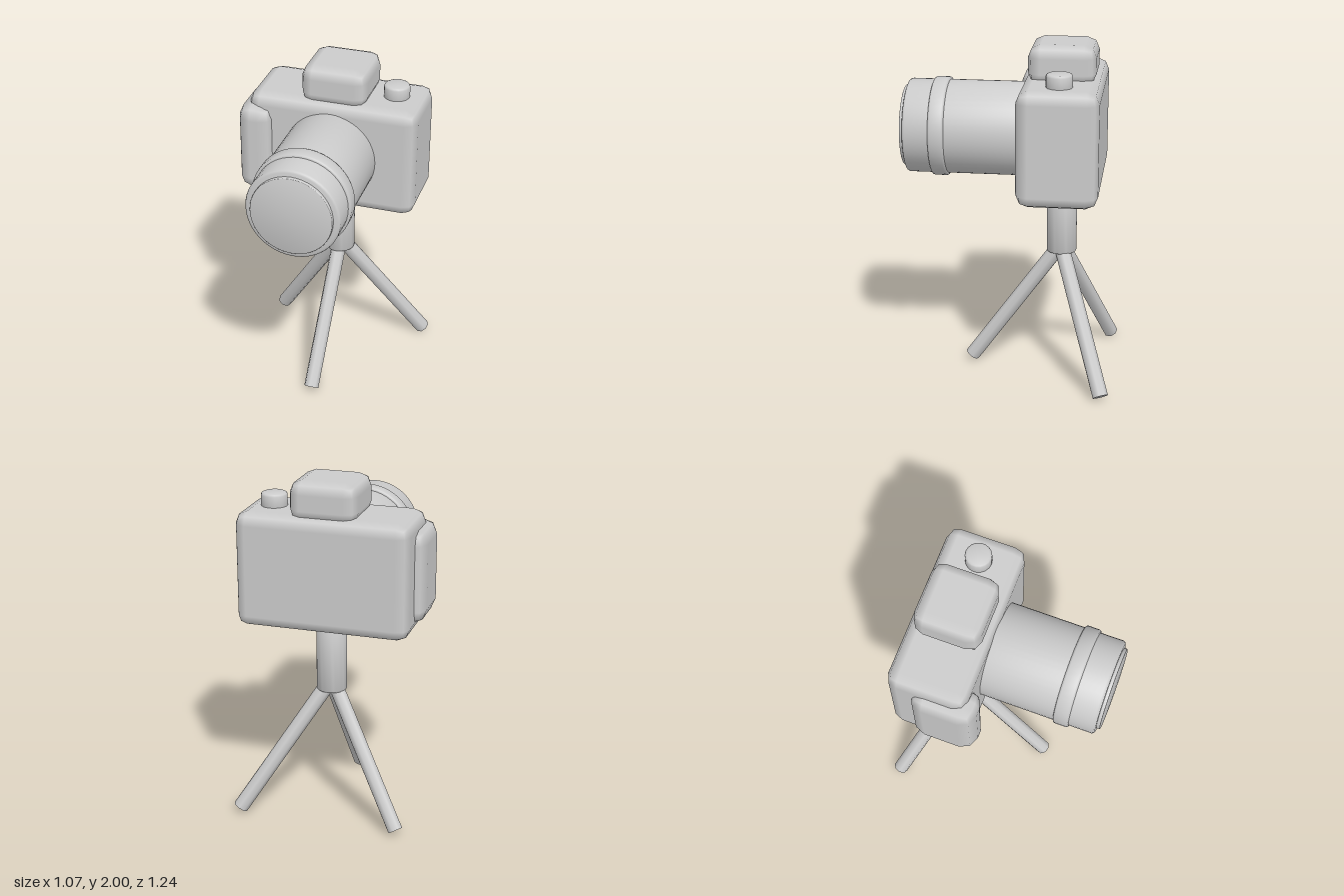
import * as THREE from 'three';
import { toCreasedNormals } from 'three/addons/utils/BufferGeometryUtils.js';
import { RoundedBoxGeometry } from 'three/addons/geometries/RoundedBoxGeometry.js';

export function createModel() {
  const group = new THREE.Group();
  const grey = new THREE.MeshStandardMaterial({ color: 0xcccccc });
  grey.name = 'light grey';

  const add = (name, geometry) => {
    const mesh = new THREE.Mesh(geometry, grey);
    mesh.name = name;
    group.add(mesh);
    return mesh;
  };

  // Box with softly chamfered edges, given by its two extreme corners
  const softBox = (name, min, max, radius) => {
    const size = max.map((v, i) => v - min[i]);
    const centre = max.map((v, i) => (v + min[i]) / 2);
    add(name, new RoundedBoxGeometry(...size, 1, radius)).position.set(...centre);
  };

  // Upright cylinder from y = 0 to the given length, with a small rim fillet
  const roundPart = (name, radius, length, fillet, sides) => {
    const f = fillet * 0.3;
    const profile = [
      [0, 0], [radius - fillet, 0], [radius - f, f], [radius, fillet],
      [radius, length - fillet], [radius - f, length - f], [radius - fillet, length], [0, length],
    ].map(([x, y]) => new THREE.Vector2(x, y));
    return add(name, toCreasedNormals(new THREE.LatheGeometry(profile, sides), 0.85));
  };

  // Camera body, viewfinder hump and hand grip
  softBox('body', [-0.485, 1.145, -0.53], [0.515, 1.81, -0.07], 0.07);
  softBox('viewfinderHump', [-0.18, 1.77, -0.49], [0.21, 2.0, -0.105], 0.07);
  softBox('grip', [-0.54, 1.195, -0.385], [-0.325, 1.745, -0.01], 0.085);

  // Shutter button
  roundPart('shutterButton', 0.075, 0.1, 0.014, 18).position.set(0.345, 1.785, -0.3);

  // Lens: barrel, focus ring and front glass, all along z
  const lensParts = [
    ['lensBarrel', 0.272, -0.12, 0.6, 0.016],
    ['focusRing', 0.287, 0.36, 0.45, 0.012],
    ['frontGlass', 0.235, 0.55, 0.62, 0.003],
  ];
  for (const [name, radius, back, front, fillet] of lensParts) {
    const part = roundPart(name, radius, front - back, fillet, 48);
    part.rotation.x = Math.PI / 2;
    part.position.set(0.015, 1.478, back);
  }

  // Tripod column
  roundPart('tripodColumn', 0.088, 0.385, 0.01, 32).position.set(0.015, 0.738, -0.295);

  // Tripod legs, from the column down to the feet
  const legs = [
    ['frontLeg', [0.015, 0.76, -0.28], [0.002, 0.027, 0.245]],
    ['leftLeg', [0.04, 0.76, -0.3], [0.495, 0.027, -0.57]],
    ['rightLeg', [-0.008, 0.76, -0.3], [-0.45, 0.027, -0.575]],
  ];
  const up = new THREE.Vector3(0, 1, 0);
  for (const [name, top, foot] of legs) {
    const a = new THREE.Vector3(...foot);
    const b = new THREE.Vector3(...top);
    const axis = b.clone().sub(a);
    const leg = add(name, new THREE.CylinderGeometry(0.045, 0.045, axis.length(), 8));
    leg.position.copy(a).add(b).multiplyScalar(0.5);
    leg.quaternion.setFromUnitVectors(up, axis.normalize());
  }

  return group;
}
